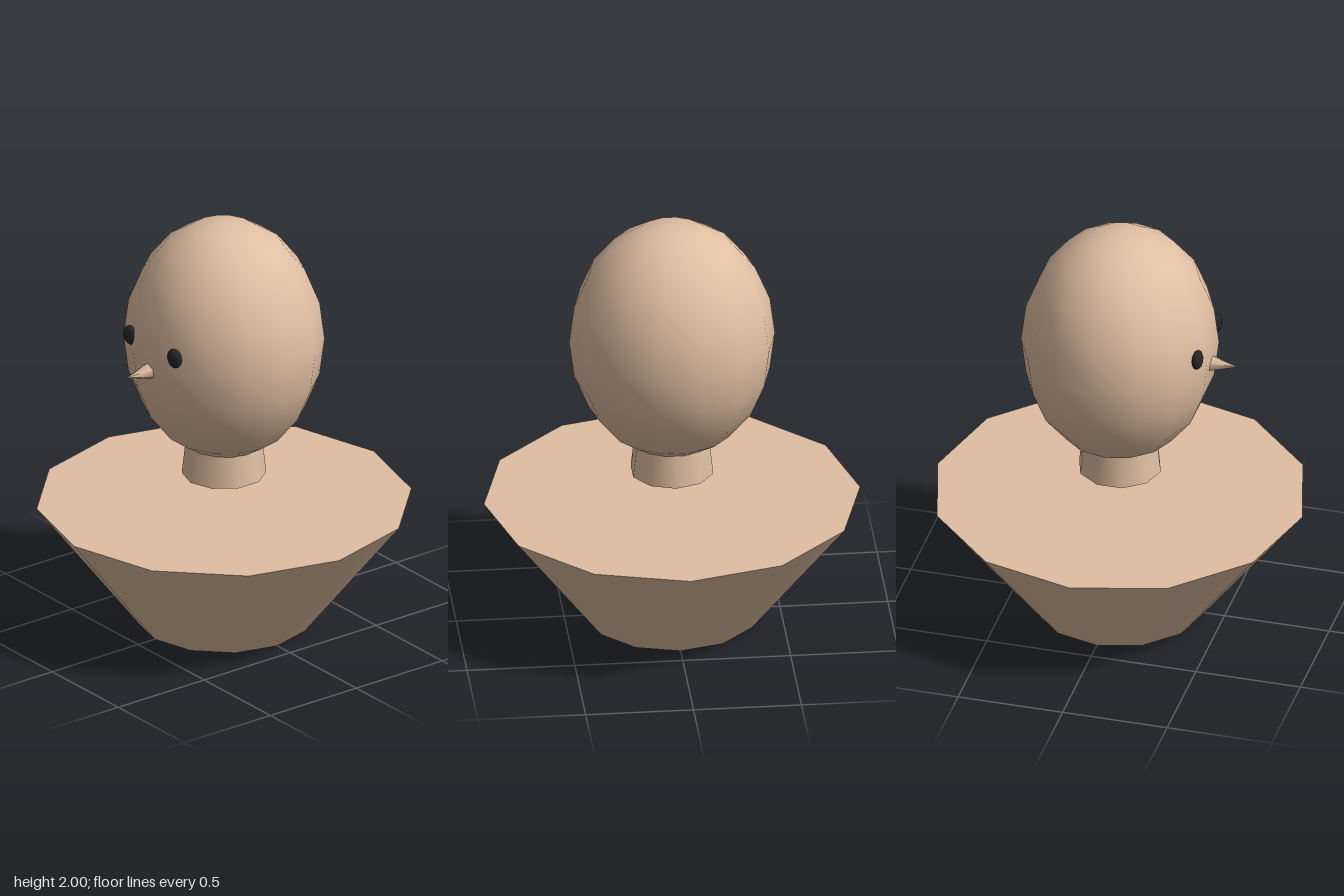
import * as THREE from 'three';

export function createModel() {
  const group = new THREE.Group();
  const skin = new THREE.MeshStandardMaterial({ color: 0xe0bfa3 });
  skin.name = 'skin';
  const black = new THREE.MeshStandardMaterial({ color: 0x262626 });
  black.name = 'eye black';

  const add = (name, geometry, material, x, y, z) => {
    const mesh = new THREE.Mesh(geometry, material);
    mesh.name = name;
    mesh.position.set(x, y, z);
    group.add(mesh);
    return mesh;
  };

  // Flared twelve-sided bust
  add('body', new THREE.CylinderGeometry(0.872, 0.403, 0.6, 12), skin, 0, 0.3, 0);

  // Floating tapered neck, its top buried in the head
  add('neck', new THREE.CylinderGeometry(0.17, 0.195, 0.225, 10), skin, 0, 0.8475, 0);

  // Egg-shaped head
  const head = add('head', new THREE.SphereGeometry(1, 14, 10), skin, 0, 1.42, 0);
  head.scale.set(0.477, 0.58, 0.456);

  // Flattened eyes
  for (const [name, side] of [['leftEye', 1], ['rightEye', -1]]) {
    const eye = add(name, new THREE.SphereGeometry(1, 12, 10), black, side * 0.167, 1.485, 0.416);
    eye.scale.set(0.044, 0.046, 0.026);
  }

  // Six-sided pointed nose
  const nose = add('nose', new THREE.ConeGeometry(0.044, 0.14, 6), skin, 0, 1.368, 0.495);
  nose.rotation.x = Math.PI / 2;

  return group;
}
